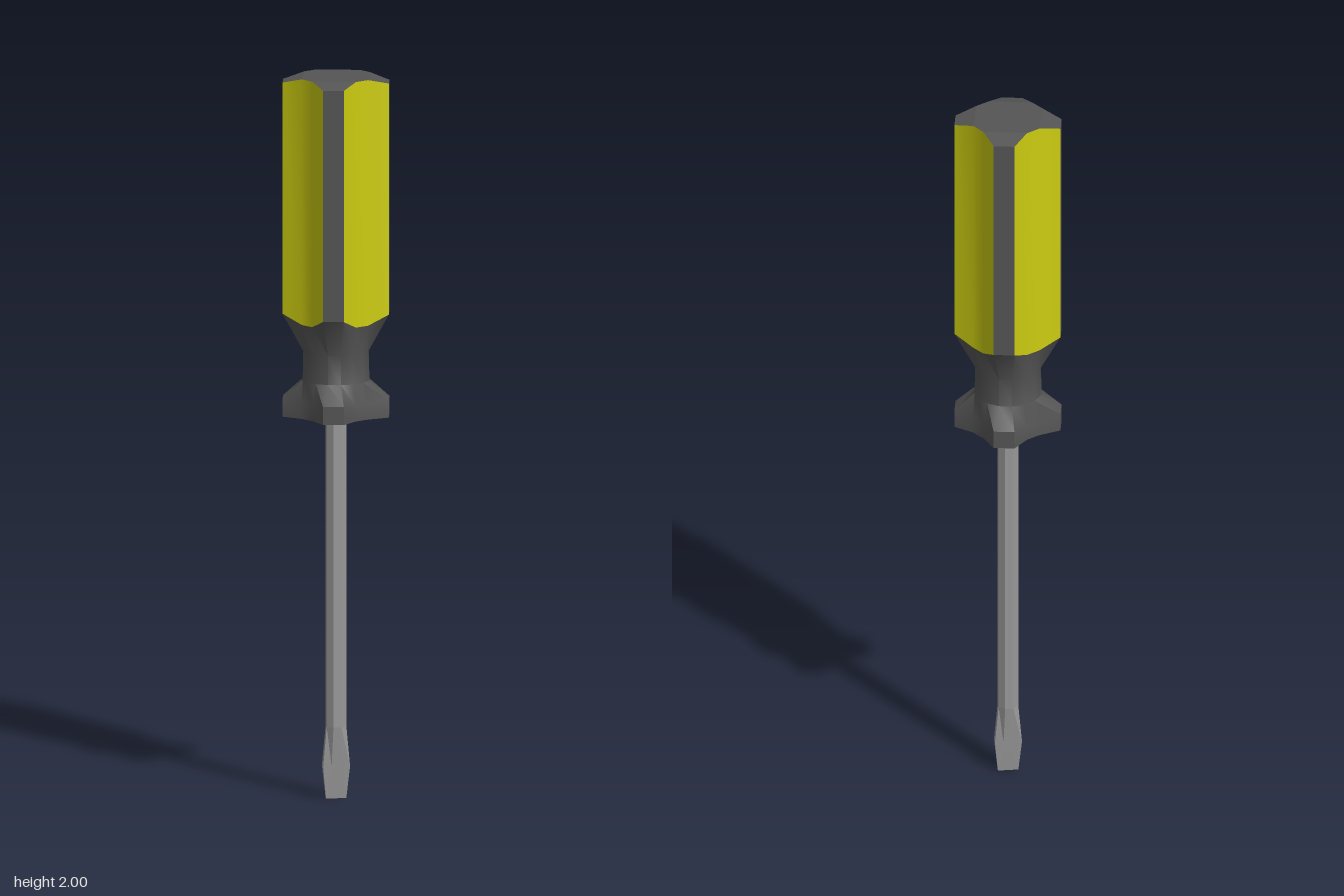
import * as THREE from 'three';
import { toCreasedNormals } from 'three/addons/utils/BufferGeometryUtils.js';

// Joins matching rings of points (bottom to top); keep(column) picks the strips to build.
function loft(rings, crease, keep = () => true) {
  const pos = [];
  const tri = new THREE.Triangle();
  const add = (a, b, c) => {
    tri.set(a, b, c);
    if (tri.getArea() > 1e-8) for (const p of [a, b, c]) pos.push(p.x, p.y, p.z);
  };
  for (let r = 0; r < rings.length - 1; r++) {
    const lo = rings[r], hi = rings[r + 1];
    for (let i = 0; i < lo.length; i++) {
      if (!keep(i)) continue;
      const j = (i + 1) % lo.length;
      add(lo[i], hi[i], hi[j]);
      add(lo[i], hi[j], lo[j]);
    }
  }
  const geo = new THREE.BufferGeometry();
  geo.setAttribute('position', new THREE.Float32BufferAttribute(pos, 3));
  return toCreasedNormals(geo, crease);
}

// Repeats one quarter of a section around the axis; each point is [x, z, y].
function quarterRing(quarter) {
  const ring = [];
  for (let k = 0; k < 4; k++) {
    for (const [x, z, y] of quarter) {
      const [px, pz] = [[x, z], [-z, x], [-x, -z], [z, -x]][k];
      ring.push(new THREE.Vector3(px, y, pz));
    }
  }
  return ring;
}

// Four-lobed grip section: two lobe-tip points, then two groove points.
const LOBE = [[0.147, 0], [0.137, 0.056], [0.077, 0.077], [0.04, 0.1]];
const lobed = (tipY, grooveY = tipY) =>
  quarterRing(LOBE.map(([x, z], i) => [x, z, i < 2 ? tipY : grooveY]));
const round = (radius, y) => quarterRing(LOBE.map(([x, z]) => {
  const s = radius / Math.hypot(x, z);
  return [x * s, z * s, y];
}));
const point = (y, n) => Array.from({ length: n }, () => new THREE.Vector3(0, y, 0));

// Flat-topped cap section: lobe tips are drawn in to the chord between grooves.
function capRing(y) {
  const [c, d] = [LOBE[2], [LOBE[3][1], -LOBE[3][0]]];
  const mix = t => [d[0] + (c[0] - d[0]) * t, d[1] + (c[1] - d[1]) * t, y];
  return quarterRing([mix(1 / 3), mix(2 / 3), [...LOBE[2], y], [...LOBE[3], y]]);
}

// Eight-sided shaft section; x and z are half widths, cx and cz the cut corners.
function octagon(x, z, cx, cz, y) {
  return [[x, -cz], [x, cz], [cx, z], [-cx, z], [-x, cz], [-x, -cz], [-cx, -z], [cx, -z]]
    .map(([px, pz]) => new THREE.Vector3(px, y, pz));
}

export function createModel() {
  const group = new THREE.Group();
  const dark = new THREE.MeshStandardMaterial({ color: 0x555555 });
  const yellow = new THREE.MeshStandardMaterial({ color: 0xcccc11 });
  const steel = new THREE.MeshStandardMaterial({ color: 0x999999 });
  const add = (name, geo, mat) => {
    const mesh = new THREE.Mesh(geo, mat);
    mesh.name = name;
    group.add(mesh);
  };

  // Collar, neck and shoulder below the grip
  const gripBottom = lobed(1.345, 1.32);
  const gripTop = lobed(1.985, 2);
  add('collarAndNeck', loft([
    point(1.06, 16), lobed(1.06), lobed(1.11, 1.1),
    round(0.092, 1.16), round(0.09, 1.24), gripBottom,
  ], 0.8), dark);

  // Grip: dark lobe tips, yellow grooves, dark end cap
  add('gripRidges', loft([gripBottom, gripTop], 0.6, i => i % 4 === 0), dark);
  add('gripGrooves', loft([gripBottom, gripTop], 0.6, i => i % 4 !== 0), yellow);
  add('gripCap', loft([gripTop, capRing(2), point(2, 16)], 0.1), dark);

  // Shaft drawn out into a flat blade
  const shaftFoot = octagon(0.027, 0.027, 0.011, 0.011, 0.2);
  add('shaft', loft([shaftFoot, octagon(0.027, 0.027, 0.011, 0.011, 1.07)], 0.3), steel);
  add('blade', loft([
    point(0, 8),
    octagon(0.028, 0.003, 0.011, 0.003, 0),
    octagon(0.037, 0.014, 0.014, 0.012, 0.09),
    shaftFoot,
  ], 0.3), steel);
  return group;
}
